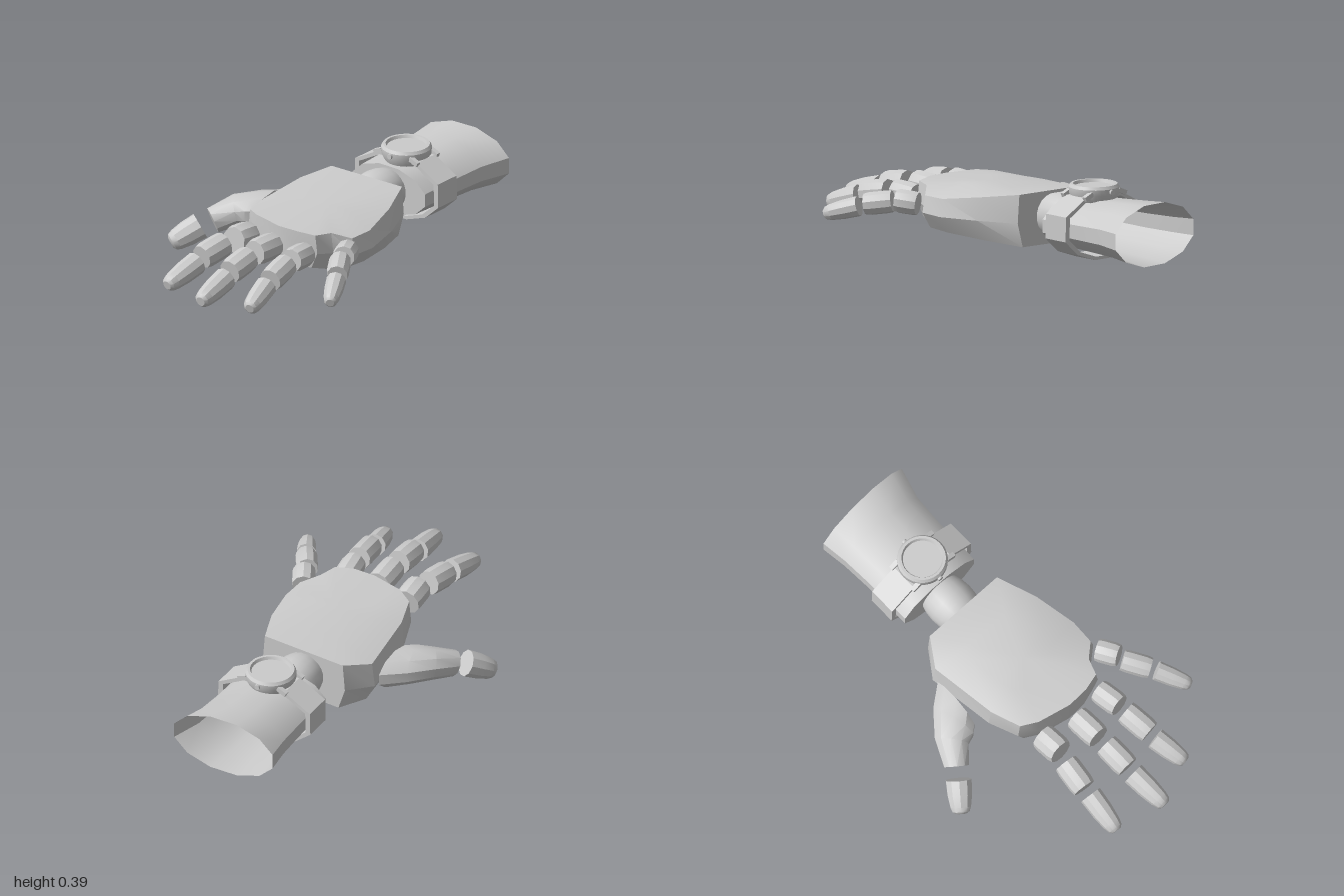
import * as THREE from 'three';
import { toCreasedNormals } from 'three/addons/utils/BufferGeometryUtils.js';

const V = (x, y, z) => new THREE.Vector3(x, y, z);
const grey = new THREE.MeshStandardMaterial({ color: 0xcccccc });
const greyOpen = new THREE.MeshStandardMaterial({ color: 0xcccccc, side: THREE.DoubleSide });

// Skin a list of closed rings; caps are fans to each end ring's middle.
function loft(rings, { capStart = true, capEnd = true, crease = 0.6 } = {}) {
  const tris = [];
  const n = rings[0].length;
  for (let r = 0; r < rings.length - 1; r++) {
    for (let i = 0; i < n; i++) {
      const j = (i + 1) % n, a = rings[r], b = rings[r + 1];
      tris.push([a[i], a[j], b[j]], [a[i], b[j], b[i]]);
    }
  }
  const cap = (ring, flip) => {
    const c = ring.reduce((s, p) => s.add(p), V(0, 0, 0)).divideScalar(n);
    ring.forEach((p, i) => {
      const q = ring[(i + 1) % n];
      tris.push(flip ? [c, q, p] : [c, p, q]);
    });
  };
  if (capStart) cap(rings[0], true);
  if (capEnd) cap(rings[rings.length - 1], false);
  // Turn the faces outward whatever the ring direction
  const mid = rings.flat().reduce((s, p) => s.add(p), V(0, 0, 0)).divideScalar(n * rings.length);
  let volume = 0;
  for (const [a, b, c] of tris) {
    volume += a.clone().sub(mid).dot(b.clone().sub(mid).cross(c.clone().sub(mid)));
  }
  const pts = tris.flatMap(([a, b, c]) => (volume < 0 ? [a, c, b] : [a, b, c]));
  return toCreasedNormals(new THREE.BufferGeometry().setFromPoints(pts), crease);
}

// Oval ring around a point, square to a direction
function ring(centre, dir, rw, rh, sides = 10) {
  const d = dir.clone().normalize();
  const side = V(0, 1, 0).cross(d).normalize();
  const up = d.clone().cross(side);
  return Array.from({ length: sides }, (_, i) => {
    const a = ((i + 0.5) / sides) * Math.PI * 2;
    return centre.clone().addScaledVector(side, Math.cos(a) * rw).addScaledVector(up, Math.sin(a) * rh);
  });
}

function add(group, name, geometry, material = grey) {
  const mesh = new THREE.Mesh(geometry, material);
  mesh.name = name;
  group.add(mesh);
  return mesh;
}

// Finger segment: profile lists [position along, radius factor]
function segment(from, to, r, profile) {
  const a = V(...from), b = V(...to), d = b.clone().sub(a);
  return loft(profile.map(([t, k, drop = 0]) =>
    ring(a.clone().lerp(b, t).add(V(0, -drop, 0)), d, r * k, r * k * 1.02)));
}
const knuckleProfile = [[0, 0.95], [0.2, 1], [0.8, 1], [1, 0.92]];
const tipProfile = [[0, 1], [0.45, 0.95], [0.8, 0.8], [0.94, 0.66], [1, 0.42]];

function makePalm(group) {
  // Outline seen from above, x and z
  const outline = [[-0.18, -0.295], [0.26, -0.295], [0.34, -0.11], [0.39, 0.09], [0.385, 0.21],
    [0.31, 0.275], [0.28, 0.355], [0.19, 0.38], [0.08, 0.385], [-0.09, 0.35], [-0.17, 0.305],
    [-0.22, 0.16], [-0.265, -0.17]];
  const top = (x, z) => 0.312 - 0.03 * z - 0.55 * Math.max(0, Math.abs(x - 0.06) - 0.14) ** 2 * 3;
  const bottom = (x, z) => 0.06 + 0.5 * Math.max(0, z - 0.12) ** 2 * 2 + 0.4 * Math.max(0, x - 0.12) ** 2 * 2;
  const layer = (s, height) => outline.map(([x, z]) => {
    const px = 0.05 + (x - 0.05) * s, pz = 0.02 + (z - 0.02) * (s > 0.8 ? 1 : s);
    return V(px, height(px, pz), pz);
  });
  const middle = (x, z) => bottom(x, z) * 0.55 + top(x, z) * 0.45;
  add(group, 'palm', loft([layer(0.45, bottom), layer(0.85, bottom), layer(1, middle),
    layer(0.95, top), layer(0.5, top)], { crease: 0.45 }));
}

function makeFingers(group) {
  // Each finger: three segments of [from, to, radius]
  const fingers = {
    indexFinger: [[[-0.095, 0.212, 0.39], [-0.09, 0.225, 0.505], 0.066],
      [[-0.108, 0.218, 0.56], [-0.122, 0.195, 0.7], 0.06], [[-0.12, 0.18, 0.74], [-0.135, 0.128, 0.935], 0.054]],
    middleFinger: [[[0.08, 0.222, 0.43], [0.085, 0.23, 0.57], 0.062],
      [[0.088, 0.222, 0.62], [0.093, 0.2, 0.76], 0.06], [[0.095, 0.178, 0.795], [0.112, 0.135, 0.995], 0.055]],
    ringFinger: [[[0.245, 0.212, 0.4], [0.262, 0.222, 0.52], 0.058],
      [[0.265, 0.215, 0.56], [0.285, 0.19, 0.7], 0.058], [[0.287, 0.172, 0.735], [0.325, 0.125, 0.9], 0.052]],
    littleFinger: [[[0.375, 0.215, 0.25], [0.425, 0.225, 0.34], 0.055],
      [[0.425, 0.217, 0.365], [0.497, 0.198, 0.475], 0.052], [[0.512, 0.187, 0.5], [0.593, 0.142, 0.645], 0.046]],
  };
  for (const [name, parts] of Object.entries(fingers)) {
    const finger = new THREE.Group();
    finger.name = name;
    parts.forEach(([from, to, r], i) => add(finger, ['base', 'middle', 'tip'][i],
      segment(from, to, r, i === 2 ? tipProfile : knuckleProfile)));
    group.add(finger);
  }
}

function makeThumb(group) {
  const thumb = new THREE.Group();
  thumb.name = 'thumb';
  // Wide root against the palm, narrowing and turning forward
  add(thumb, 'thumbRoot', loft([
    ring(V(-0.272, 0.163, -0.005), V(-1, 0, -0.05), 0.138, 0.088),
    ring(V(-0.34, 0.165, 0.05), V(-1, 0, 0.25), 0.115, 0.08),
    ring(V(-0.405, 0.158, 0.11), V(-1, -0.25, 0.8), 0.082, 0.074),
    ring(V(-0.462, 0.122, 0.205), V(-0.75, -0.5, 1), 0.06, 0.062),
  ]));
  add(thumb, 'thumbTip', segment([-0.495, 0.103, 0.255], [-0.58, 0.03, 0.365], 0.062, tipProfile));
  group.add(thumb);
}

function makeForearm(group) {
  // Sections: z, middle x, middle y, half width, half height
  const sections = [[-0.455, 0.04, 0.195, 0.222, 0.118], [-0.7, 0.038, 0.197, 0.226, 0.13],
    [-0.85, 0.038, 0.2, 0.235, 0.138], [-0.987, 0.05, 0.203, 0.265, 0.148]];
  const rings = sections.map(([z, x, y, w, h]) => ring(V(x, y, z), V(0, 0, -1), w, h, 12));
  // Slanted open end
  rings[3].forEach((p) => { p.z -= 0.05 * (p.x - 0.05); });
  add(group, 'forearm', loft(rings, { capEnd: false }), greyOpen);

  // Barrel-shaped wrist joint
  const wrist = [-0.47, -0.45, -0.42, -0.375, -0.33, -0.3, -0.28].map((z) => {
    const r = Math.sqrt(1 - ((z + 0.375) / 0.17) ** 2);
    return ring(V(0.038, 0.2, z), V(0, 0, 1), 0.117 * r, 0.112 * r, 20);
  });
  add(group, 'wristJoint', loft(wrist));
}

function makeWatch(group) {
  const watch = new THREE.Group();
  watch.name = 'watch';
  // Faceted strap with a thin wall
  const strap = [[-0.07, 0.338], [0.16, 0.338], [0.285, 0.265], [0.288, 0.15], [0.21, 0.08],
    [0.1, 0.042], [-0.02, 0.042], [-0.12, 0.075], [-0.208, 0.15], [-0.205, 0.265]];
  const loop = (s, z) => strap.map(([x, y]) => V(0.04 + (x - 0.04) * s, 0.195 + (y - 0.195) * s, z));
  add(watch, 'strap', loft([loop(0.9, -0.51), loop(1, -0.51), loop(1, -0.645), loop(0.9, -0.645), loop(0.9, -0.51)],
    { capStart: false, capEnd: false, crease: 0.3 }), greyOpen);

  // Case, raised rim and sunken face
  const head = new THREE.Group();
  head.name = 'watchHead';
  head.position.set(0.045, 0, -0.577);
  const profile = [[0, 0.31], [0.1, 0.31], [0.117, 0.345], [0.117, 0.372], [0.108, 0.386],
    [0.096, 0.386], [0.09, 0.372], [0, 0.372]].map(([r, y]) => new THREE.Vector2(r, y));
  add(head, 'case', toCreasedNormals(new THREE.LatheGeometry(profile, 28), 0.5));
  // Lugs joining the case to the strap
  for (const sx of [-1, 1]) for (const sz of [-1, 1]) {
    const lug = add(head, 'lug', new THREE.BoxGeometry(0.05, 0.022, 0.022));
    lug.position.set(sx * 0.105, 0.345, sz * 0.072);
    lug.rotation.z = -sx * 0.4;
  }
  // Small studs front and back
  for (const s of [-1, 1]) {
    const stud = add(head, 'stud', new THREE.CylinderGeometry(0.013, 0.013, 0.02, 10));
    stud.rotation.x = Math.PI / 2;
    stud.position.set(0, 0.358, s * 0.116);
  }
  watch.add(head);
  group.add(watch);
}

export function createModel() {
  const hand = new THREE.Group();
  hand.name = 'hand';
  makePalm(hand);
  makeFingers(hand);
  makeThumb(hand);
  makeForearm(hand);
  makeWatch(hand);
  return hand;
}
